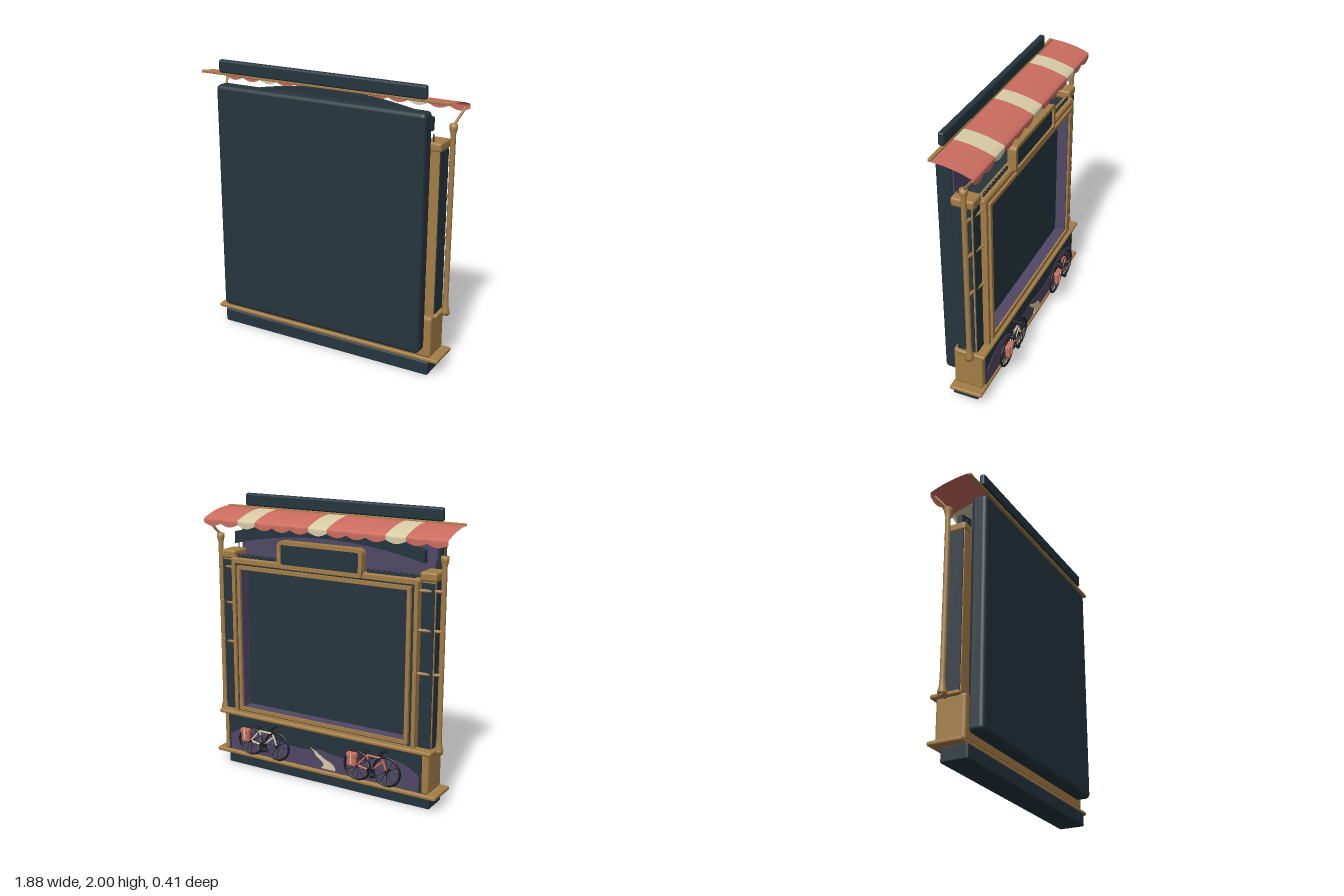
import * as THREE from 'three';
import { RoundedBoxGeometry } from 'three/addons/geometries/RoundedBoxGeometry.js';

const mat = (name, color, side = THREE.FrontSide) => {
  const m = new THREE.MeshStandardMaterial({ color, side });
  m.name = name;
  return m;
};

export function createModel() {
  const root = new THREE.Group();
  root.name = 'streetKiosk';
  const slate = mat('slate', 0x26353e);
  const wood = mat('ochreWood', 0xa47d46);
  const red = mat('coralRed', 0xcb6c5f, THREE.DoubleSide);
  const cream = mat('cream', 0xd8cba6, THREE.DoubleSide);
  const purple = mat('duskPurple', 0x514866, THREE.DoubleSide);
  const black = mat('tyreBlack', 0x171b1f);

  const add = (name, geo, material, parent = root) => {
    const m = new THREE.Mesh(geo, material);
    m.name = name;
    parent.add(m);
    return m;
  };
  // Box given by its limits, with optional rounded edges
  const box = (name, x0, x1, y0, y1, z0, z1, material, r = 0, parent = root) => {
    const s = [x1 - x0, y1 - y0, z1 - z0];
    const g = r ? new RoundedBoxGeometry(...s, 3, r) : new THREE.BoxGeometry(...s);
    g.translate((x0 + x1) / 2, (y0 + y1) / 2, (z0 + z1) / 2);
    return add(name, g, material, parent);
  };
  // Straight round bar between two points
  const bar = (name, a, b, r, material, parent = root, sides = 10) => {
    const p = new THREE.Vector3(...a), q = new THREE.Vector3(...b), d = q.clone().sub(p);
    const m = add(name, new THREE.CylinderGeometry(r, r, d.length(), sides), material, parent);
    m.position.copy(p).add(q).multiplyScalar(0.5);
    m.quaternion.setFromUnitVectors(new THREE.Vector3(0, 1, 0), d.normalize());
    return m;
  };
  const roundRect = (P, w, h, r) => {
    const s = new P();
    s.moveTo(-w + r, -h);
    s.lineTo(w - r, -h); s.quadraticCurveTo(w, -h, w, -h + r);
    s.lineTo(w, h - r); s.quadraticCurveTo(w, h, w - r, h);
    s.lineTo(-w + r, h); s.quadraticCurveTo(-w, h, -w, h - r);
    s.lineTo(-w, -h + r); s.quadraticCurveTo(-w, -h, -w + r, -h);
    return s;
  };
  // Picture-frame ring, half sizes w and h, border b
  const ring = (name, w, h, b, r, cy, z0, z1, material) => {
    const s = roundRect(THREE.Shape, w, h, r);
    s.holes.push(roundRect(THREE.Path, w - b, h - b, Math.max(r - b, 0.002)));
    const g = new THREE.ExtrudeGeometry(s, { depth: z1 - z0, bevelEnabled: false });
    return add(name, g.translate(0, cy, z0), material);
  };
  // Thin painted plate
  const plate = (name, shape, z, material) =>
    add(name, new THREE.ExtrudeGeometry(shape, { depth: 0.004, bevelEnabled: false }).translate(0, 0, z), material);

  // Base, ledge, lower cabinet
  box('plinth', -0.83, 0.83, 0, 0.1, -0.06, 0.13, slate, 0.012);
  box('ledge', -0.895, 0.895, 0.095, 0.124, -0.115, 0.12, wood, 0.01);
  box('lowerCabinet', -0.835, 0.835, 0.12, 0.42, -0.1, 0.11, wood, 0.02);
  box('counterRail', -0.86, 0.86, 0.405, 0.435, -0.128, 0.075, wood, 0.012);

  // Front board and top bar
  box('frontBoard', -0.787, 0.787, 0.18, 1.83, 0.09, 0.205, slate, 0.03);
  box('topBar', -0.775, 0.775, 1.91, 2.0, 0.138, 0.18, slate, 0.015);
  box('upperMural', -0.77, 0.77, 1.5, 1.8, 0.084, 0.092, purple);

  // Recessed screen with purple reveal
  box('screen', -0.73, 0.73, 0.42, 1.56, -0.02, 0.09, slate);
  ring('reveal', 0.66, 0.52, 0.012, 0.004, 0.99, -0.098, -0.02, purple);
  ring('frameBody', 0.72, 0.58, 0.062, 0.006, 0.99, -0.09, -0.02, slate);
  ring('outerMoulding', 0.73, 0.575, 0.026, 0.01, 0.99, -0.105, -0.05, wood);
  ring('innerMoulding', 0.682, 0.535, 0.026, 0.008, 0.99, -0.112, -0.05, wood);
  box('topMoulding', -0.74, 0.74, 1.55, 1.575, -0.1, -0.03, wood, 0.008);

  // Small cresting above the frame
  for (const s of [-1, 1]) {
    for (let i = 0; i < 9; i++) {
      const x = s * (0.36 + i * 0.04);
      const loop = add('cresting', new THREE.TorusGeometry(0.017, 0.004, 5, 12, Math.PI), slate);
      loop.position.set(x, 1.585, -0.07);
      box('crestingFoot', x - 0.017, x + 0.017, 1.57, 1.588, -0.074, -0.066, slate);
    }
  }

  // Arched beam behind the awning
  const arch = new THREE.Shape(), top = x => 1.845 - 0.17 * x * x;
  for (let i = 0; i <= 20; i++) {
    const x = -0.74 + i * 0.074;
    i ? arch.lineTo(x, top(x)) : arch.moveTo(x, top(x));
  }
  for (let i = 20; i >= 0; i--) arch.lineTo(-0.74 + i * 0.074, top(-0.74 + i * 0.074) - 0.085);
  add('archedBeam', new THREE.ExtrudeGeometry(arch, { depth: 0.04, bevelEnabled: false }).translate(0, 0, -0.042), slate);

  // Hanging sign
  ring('signFrame', 0.33, 0.095, 0.026, 0.04, 1.637, -0.125, -0.066, wood);
  add('signPanel', new THREE.ExtrudeGeometry(roundRect(THREE.Shape, 0.31, 0.075, 0.02), { depth: 0.035, bevelEnabled: false })
    .translate(0, 1.637, -0.11), slate);

  // Side pillars, posts, rungs and awning struts
  for (const s of [-1, 1]) {
    const side = new THREE.Group();
    side.name = s > 0 ? 'leftSide' : 'rightSide';
    root.add(side);
    const sbox = (name, x0, x1, ...rest) =>
      box(name, Math.min(s * x0, s * x1), Math.max(s * x0, s * x1), ...rest, side);
    sbox('pillar', 0.735, 0.835, 0.42, 1.6, -0.065, 0.075, wood, 0.008);
    sbox('pillarSidePanel', 0.833, 0.84, 0.44, 1.56, -0.055, 0.07, slate, 0);
    sbox('pillarBackPanel', 0.74, 0.83, 0.44, 1.55, -0.07, -0.06, slate, 0);
    sbox('pillarCap', 0.725, 0.843, 1.56, 1.62, -0.075, 0.08, wood, 0.015);
    bar('finial', [s * 0.78, 1.6, 0.055], [s * 0.78, 1.67, 0.055], 0.004, slate, side);
    const post = add('post', new THREE.LatheGeometry([
      [0, 0.4], [0.03, 0.41], [0.03, 0.43], [0.022, 0.46], [0.018, 0.52], [0.018, 1.66],
      [0.027, 1.7], [0.027, 1.725], [0, 1.735]].map(p => new THREE.Vector2(...p)), 16), wood, side);
    post.position.set(s * 0.875, 0, -0.03);
    bar('strut', [s * 0.875, 1.72, -0.03], [s * 0.915, 1.82, -0.112], 0.009, wood, side);
    bar('postFoot', [s * 0.77, 0.42, -0.03], [s * 0.895, 0.42, -0.03], 0.022, wood, side);
    for (const y of [0.95, 1.24, 1.5])
      bar('rung', [s * 0.72, y, -0.08], [s * 0.875, y, -0.045], 0.011, wood, side);
  }

  // Curved awning: thirteen panels with a scalloped valance
  const N = 13, W = 1.88 / N, awning = new THREE.Group();
  awning.name = 'awning';
  root.add(awning);
  for (let k = 0; k < N; k++) {
    const canopy = new THREE.PlaneGeometry(1, 1, 8, 12), p = canopy.attributes.position;
    for (let i = 0; i < p.count; i++) {
      const u = p.getX(i) + 0.5, v = 0.5 - p.getY(i), x = -0.94 + (k + u) * W;
      if (v < 0.8) {
        const t = v / 0.75;
        if (t <= 1) p.setXYZ(i, x, 1.9 - 0.058 * t * t, 0.155 - 0.285 * t);
        else p.setXYZ(i, x, 1.835, -0.13);
      } else {
        const t = (v - 0.75) / 0.25;
        p.setXYZ(i, x, 1.842 - t * (0.03 + 0.022 * Math.sin(u * Math.PI)), -0.131);
      }
    }
    canopy.computeVertexNormals();
    add('awningPanel', canopy, k % 4 === 2 ? cream : red, awning);
  }
  box('awningRail', -0.93, 0.93, 1.893, 1.91, 0.142, 0.166, wood, 0.004, awning);

  // Lower mural: night sky, hills and winding path
  box('muralSky', -0.79, 0.79, 0.132, 0.398, -0.106, -0.09, slate);
  for (const s of [-1, 1]) {
    const hill = new THREE.Shape();
    hill.moveTo(s * 0.77, 0.135);
    hill.lineTo(s * 0.77, 0.25);
    hill.bezierCurveTo(s * 0.6, 0.37, s * 0.5, 0.33, s * 0.36, 0.27);
    hill.quadraticCurveTo(s * 0.15, 0.24, 0, 0.28);
    hill.lineTo(0, 0.135);
    plate('muralHill', hill, -0.109, purple);
  }
  const path = new THREE.Shape();
  path.moveTo(0.08, 0.285);
  path.bezierCurveTo(0.0, 0.25, 0.0, 0.235, -0.06, 0.21);
  path.quadraticCurveTo(-0.13, 0.19, -0.13, 0.145);
  path.lineTo(-0.01, 0.145);
  path.quadraticCurveTo(-0.06, 0.18, 0.0, 0.21);
  path.bezierCurveTo(0.05, 0.235, 0.03, 0.26, 0.08, 0.285);
  plate('muralPath', path, -0.113, cream);

  // Two bicycles mounted in front of the mural, riding towards -x
  const bicycle = (cx, paint) => {
    const g = new THREE.Group();
    g.name = 'bicycle';
    g.position.set(cx, 0.25, -0.155);
    root.add(g);
    for (const wx of [-0.113, 0.113]) {
      const tyre = add('tyre', new THREE.TorusGeometry(0.1, 0.008, 8, 36), black, g);
      tyre.position.x = wx;
      bar('hub', [wx, 0, -0.014], [wx, 0, 0.014], 0.01, black, g);
      for (let i = 0; i < 6; i++) {
        const a = i * Math.PI / 6, c = 0.1 * Math.cos(a), d = 0.1 * Math.sin(a);
        bar('spokes', [wx - c, -d, 0], [wx + c, d, 0], 0.002, black, g, 5);
      }
      bar('wallMount', [wx, 0, 0], [wx, 0, 0.06], 0.005, black, g);
    }
    const rear = [0.113, 0, 0], crank = [0.01, -0.015, 0], seat = [0.04, 0.09, 0],
      head = [-0.075, 0.09, 0], front = [-0.113, 0, 0], low = [-0.083, 0.065, 0];
    for (const [a, b] of [[rear, crank], [rear, seat], [crank, seat], [seat, head], [crank, low], [head, front]])
      bar('frameTube', a, b, 0.007, paint, g);
    bar('seatPost', seat, [0.047, 0.115, 0], 0.005, black, g);
    box('saddle', 0.025, 0.075, 0.112, 0.124, -0.013, 0.013, black, 0.005, g);
    bar('stem', head, [-0.067, 0.125, 0], 0.005, black, g);
    bar('handlebar', [-0.067, 0.125, -0.035], [-0.067, 0.125, 0.035], 0.005, black, g);
    for (const z of [-0.035, 0.035]) bar('grip', [-0.067, 0.125, z], [-0.1, 0.135, z * 0.9], 0.006, black, g);
    add('chainring', new THREE.CylinderGeometry(0.024, 0.024, 0.006, 18).rotateX(Math.PI / 2), black, g)
      .position.set(0.01, -0.015, -0.012);
    bar('crankArm', [0.01, -0.015, -0.016], [-0.015, -0.045, -0.018], 0.004, black, g);
    box('pedal', -0.03, 0, -0.052, -0.043, -0.038, -0.018, black, 0, g);
    bar('rack', [0.05, 0.112, -0.012], [0.175, 0.112, -0.012], 0.004, black, g);
    bar('rackStay', [0.15, 0.112, -0.012], rear, 0.003, black, g);
    box('pannier', 0.105, 0.17, 0.005, 0.08, -0.045, -0.012, red, 0.008, g);
    box('pannierFlap', 0.1, 0.175, 0.065, 0.1, -0.048, -0.01, red, 0.006, g);
    box('pannierStrap', 0.132, 0.143, 0.02, 0.098, -0.05, -0.046, cream, 0, g);
  };
  bicycle(0.443, cream);
  bicycle(-0.443, red);

  return root;
}
